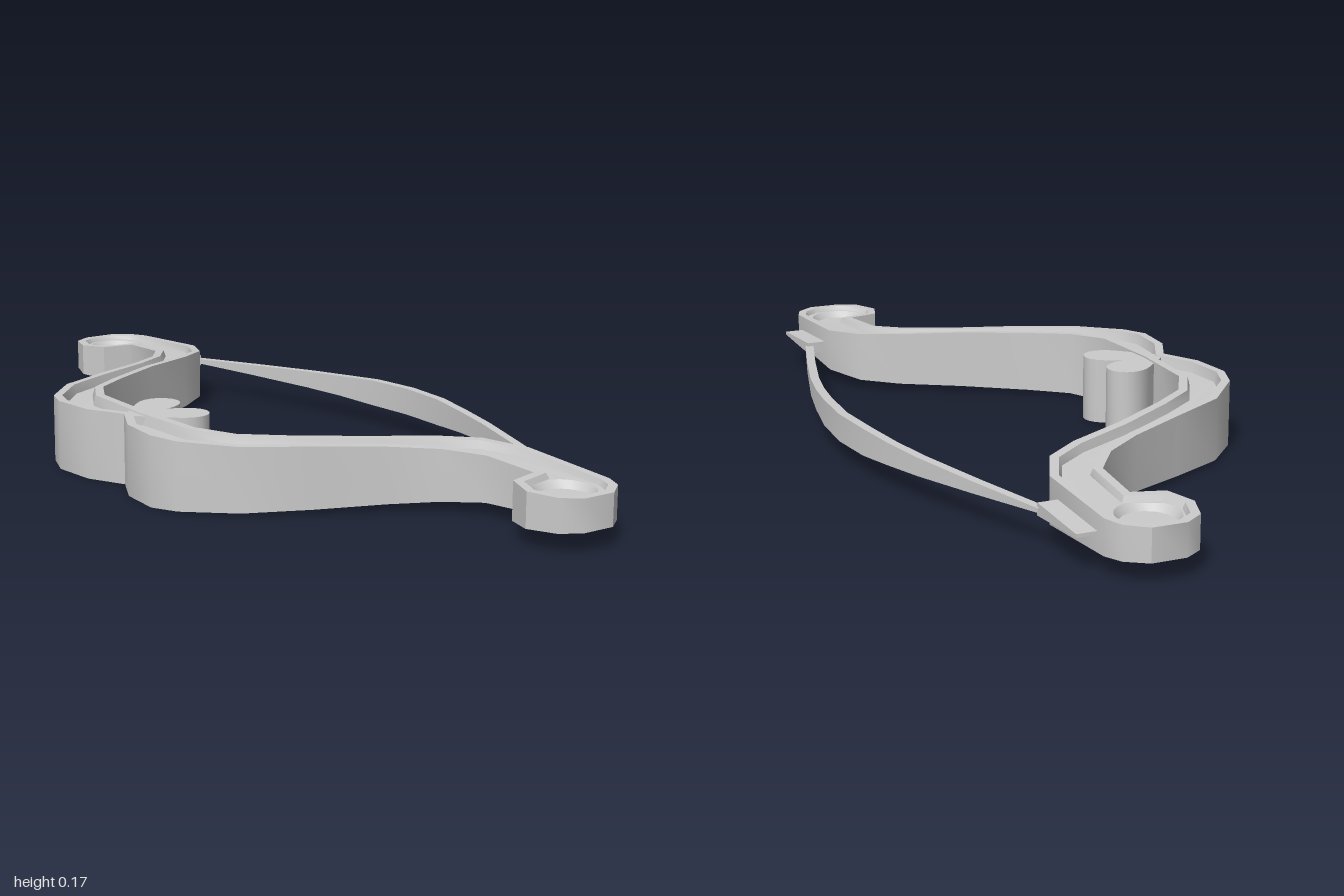
import * as THREE from 'three';
import { toCreasedNormals } from 'three/addons/utils/BufferGeometryUtils.js';

const MID = 0.083; // height of the plane of symmetry
const material = new THREE.MeshStandardMaterial({ color: 0xcccccc });

// Linear interpolation in a list of [position, value]
function lookup(table, t) {
  for (let i = 1; i < table.length; i++) {
    const [a, va] = table[i - 1], [b, vb] = table[i];
    if (t <= b) return va + ((vb - va) * (t - a)) / (b - a);
  }
  return table[table.length - 1][1];
}

// Half height of the limbs by distance from the grip
const halfHeight = (z) => lookup(
  [[0, 0.083], [0.2, 0.082], [0.45, 0.071], [0.67, 0.053], [0.9, 0.04], [1, 0.037]], Math.abs(z));

// Band of quads between two closed loops of points
function strip(out, a, b) {
  a.forEach((p, i) => {
    const j = (i + 1) % a.length;
    out.push(...p, ...b[i], ...b[j], ...p, ...b[j], ...a[j]);
  });
}

// Flat shape filled in plan, facing up (side 1) or down (side -1)
function fill(out, contour, holes, side, lift) {
  const points = [contour, ...holes].flat();
  for (const f of THREE.ShapeUtils.triangulateShape(contour, holes)) {
    const [a, b, c] = f.map((i) => points[i]);
    const area = (b.x - a.x) * (c.y - a.y) - (b.y - a.y) * (c.x - a.x);
    for (const p of area * side < 0 ? [a, b, c] : [a, c, b]) out.push(...lift(p));
  }
}

// Contour moved inwards by d with mitred corners
function inset(contour, d) {
  const n = contour.length;
  return contour.map((p, i) => {
    const e = p.clone().sub(contour[(i + n - 1) % n]).normalize();
    const f = contour[(i + 1) % n].clone().sub(p).normalize();
    const n1 = new THREE.Vector2(-e.y, e.x), n2 = new THREE.Vector2(-f.y, f.x);
    const m = n1.clone().add(n2).normalize();
    return p.clone().addScaledVector(m, d / Math.max(0.6, m.dot(n1)));
  });
}

const circle = (cx, cz, r, n = 20) => Array.from({ length: n }, (_, i) => {
  const a = (i / n) * Math.PI * 2;
  return new THREE.Vector2(cx + r * Math.cos(a), cz + r * Math.sin(a));
});

function makeMesh(name, geometry, crease = 0.6) {
  const mesh = new THREE.Mesh(toCreasedNormals(geometry, crease), material);
  mesh.name = name;
  return mesh;
}

function fromTriangles(positions) {
  const g = new THREE.BufferGeometry();
  g.setAttribute('position', new THREE.Float32BufferAttribute(positions, 3));
  return g;
}

// Both limbs in one: raised rim, sunk channel on both faces, round pits in the curls
function limbs() {
  const half = [
    [-0.40, 0], [-0.445, -0.09], [-0.455, -0.2], [-0.43, -0.27], [-0.335, -0.375],
    [-0.195, -0.45], [-0.05, -0.525], [0.045, -0.59], [0.105, -0.67], [0.115, -0.81],
    [0.04, -0.83], [0.015, -0.9], [0.04, -0.97], [0.085, -1], [0.165, -1],
    [0.21, -0.965], [0.228, -0.92], [0.228, -0.67], [0.18, -0.57], [0.095, -0.51],
    [-0.05, -0.44], [-0.195, -0.35], [-0.285, -0.285], [-0.335, -0.195], [-0.34, -0.09], [-0.345, 0],
  ];
  const mirrored = half.slice(1, -1).reverse().map(([x, z]) => [x, -z]);
  const outer = [...half, ...mirrored].map(([x, z]) => new THREE.Vector2(x, z));
  const rim = inset(outer, 0.02), floor = inset(outer, 0.026);
  const at = (side, k) => (p) => [p.x, MID + side * k * halfHeight(p.y), p.y];

  const out = [];
  const FLOOR = 0.7, PIT = 0.3;
  const chain = [
    floor.map(at(-1, FLOOR)), rim.map(at(-1, 1)), outer.map(at(-1, 1)),
    outer.map(at(1, 1)), rim.map(at(1, 1)), floor.map(at(1, FLOOR)),
  ];
  for (let i = 1; i < chain.length; i++) strip(out, chain[i - 1], chain[i]);

  const wide = [-0.9, 0.9].map((z) => circle(0.12, z, 0.07));
  const narrow = [-0.9, 0.9].map((z) => circle(0.12, z, 0.058));
  for (const side of [1, -1]) {
    fill(out, floor, wide, side, at(side, FLOOR));
    wide.forEach((ring, i) => {
      const loops = [ring.map(at(side, FLOOR)), narrow[i].map(at(side, PIT))];
      if (side < 0) loops.reverse();
      strip(out, ...loops);
      fill(out, narrow[i], [], side, at(side, PIT));
    });
  }
  return makeMesh('limbs', fromTriangles(out));
}

// Two-lobed ornament on the grip, pointing outwards
function ornament() {
  const s = new THREE.Shape();
  s.moveTo(-0.4, 0);
  s.lineTo(-0.315, -0.085);
  s.bezierCurveTo(-0.28, -0.12, -0.235, -0.115, -0.22, -0.08);
  s.bezierCurveTo(-0.205, -0.04, -0.24, -0.01, -0.285, 0);
  s.bezierCurveTo(-0.24, 0.01, -0.205, 0.04, -0.22, 0.08);
  s.bezierCurveTo(-0.235, 0.115, -0.28, 0.12, -0.315, 0.085);
  s.closePath();
  const g = new THREE.ExtrudeGeometry(s, { depth: 0.158, bevelEnabled: false, curveSegments: 6 });
  g.rotateX(-Math.PI / 2).translate(0, 0.004, 0);
  return makeMesh('gripOrnament', g);
}

// Ribbon-like string, tall in the middle and thin at the ends
function bowString() {
  const path = [[0, 0.435], [0.13, 0.425], [0.24, 0.406], [0.35, 0.381], [0.53, 0.328], [0.72, 0.267]];
  const tall = [[0, 0.033], [0.13, 0.032], [0.24, 0.026], [0.72, 0.005]];
  const stations = path.map(([z]) => z);
  const zs = [...stations.slice(1).reverse().map((z) => -z), ...stations];
  const rings = zs.map((z) => {
    const x = lookup(path, Math.abs(z)), h = lookup(tall, Math.abs(z)), w = 0.011;
    return [[x - w, MID - h, z], [x - w, MID + h, z], [x + w, MID + h, z], [x + w, MID - h, z]];
  });
  const out = [];
  for (let i = 1; i < rings.length; i++) strip(out, rings[i - 1], rings[i]);
  return makeMesh('bowString', fromTriangles(out));
}

// Wedge-shaped tab that holds one end of the string
function stringTab(side) {
  const g = new THREE.BoxGeometry(0.055, 1, 0.18).translate(0.247, 0, side * 0.8);
  const p = g.attributes.position;
  for (let i = 0; i < p.count; i++) {
    p.setY(i, MID + p.getY(i) * lookup([[0.71, 0.028], [0.89, 0.008]], Math.abs(p.getZ(i))));
  }
  return makeMesh(side > 0 ? 'frontStringTab' : 'backStringTab', g, 0.3);
}

export function createModel() {
  const group = new THREE.Group();
  group.name = 'bow';
  group.add(limbs(), ornament(), bowString(), stringTab(1), stringTab(-1));
  return group;
}
